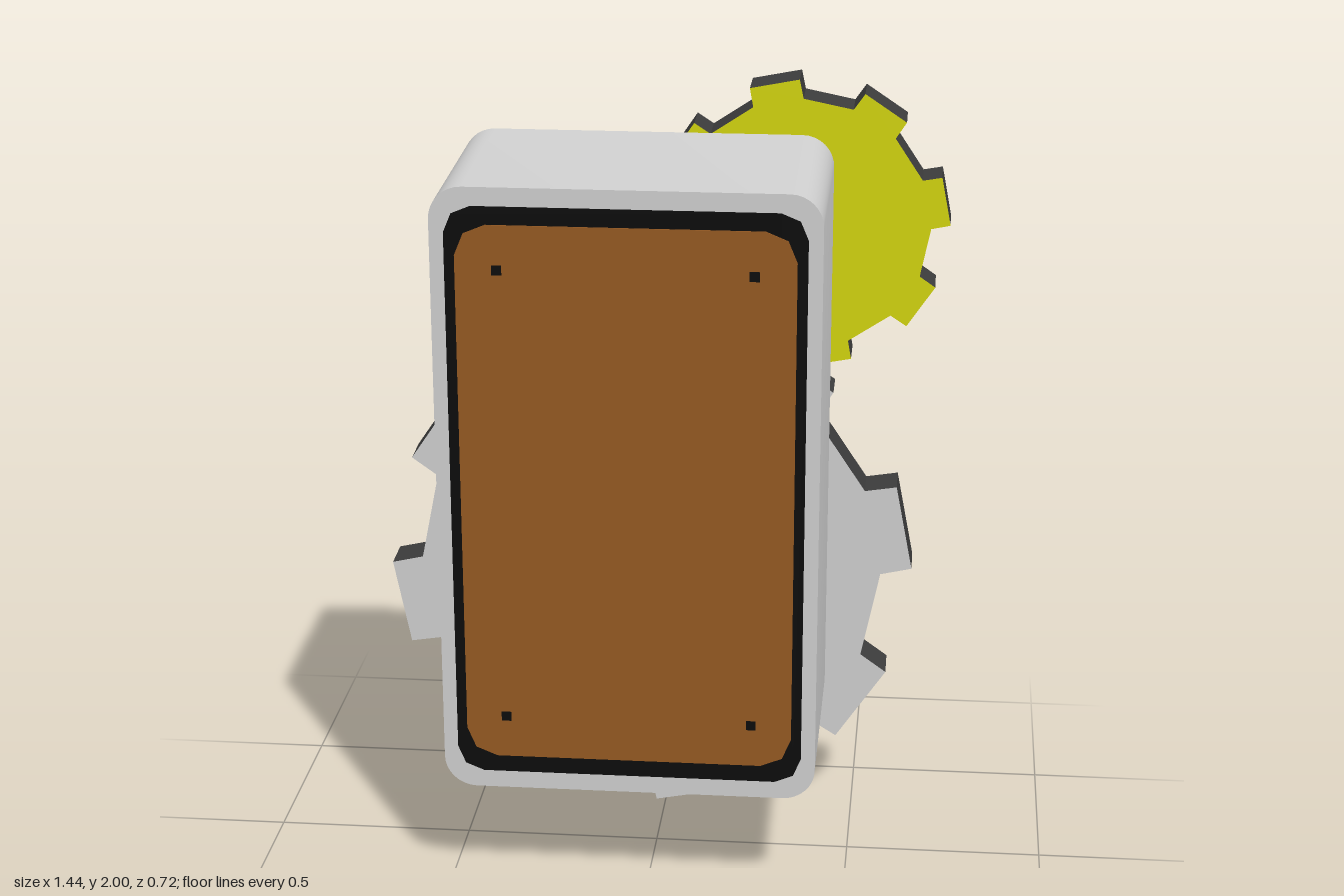
import * as THREE from 'three';
import { toCreasedNormals } from 'three/addons/utils/BufferGeometryUtils.js';

const material = (name, color) => {
  const m = new THREE.MeshStandardMaterial({ color });
  m.name = name;
  return m;
};

function extrude(shape, depth, curveSegments = 1) {
  return new THREE.ExtrudeGeometry(shape, { depth, bevelEnabled: false, curveSegments });
}

// Rectangle centred on the origin with rounded corners
function roundedRect(w, h, r) {
  const x = w / 2, y = h / 2, s = new THREE.Shape();
  s.absarc(x - r, y - r, r, 0, Math.PI / 2);
  s.absarc(-x + r, y - r, r, Math.PI / 2, Math.PI);
  s.absarc(-x + r, -y + r, r, Math.PI, Math.PI * 1.5);
  s.absarc(x - r, -y + r, r, Math.PI * 1.5, Math.PI * 2);
  return s;
}

// Gear outline: straight tips and valleys, teeth slightly narrower at the tip
function gearShape(root, tip, teeth, phase) {
  const pts = [];
  for (let i = 0; i < teeth; i++) {
    const mid = THREE.MathUtils.degToRad(phase) + (i * Math.PI * 2) / teeth;
    const half = Math.PI / teeth / 2;
    for (const [r, a] of [[root, -half], [tip, -half * 0.86], [tip, half * 0.86], [root, half]]) {
      pts.push(new THREE.Vector2(r * Math.cos(mid + a), r * Math.sin(mid + a)));
    }
  }
  return new THREE.Shape(pts);
}

export function createModel() {
  const grey = material('light grey', 0xd0d0d0);
  const black = material('black trim', 0x0c0c0c);
  const brown = material('brown panel', 0x965a22);
  const yellow = material('yellow', 0xd4d60e);
  const dark = material('dark gear edge', 0x3c3c3c);

  const model = new THREE.Group();
  const body = new THREE.Group();
  body.name = 'tiltedBody';
  body.position.set(0, 1.07, 0.065);
  body.rotation.x = THREE.MathUtils.degToRad(2);
  model.add(body);

  const add = (parent, name, geometry, mat, x, y, z) => {
    const mesh = new THREE.Mesh(geometry, mat);
    mesh.name = name;
    mesh.position.set(x, y, z);
    parent.add(mesh);
    return mesh;
  };

  // Case
  const depth = 0.545, cx = -0.04;
  const caseGeometry = toCreasedNormals(extrude(roundedRect(0.93, 1.56, 0.08), depth, 4), 0.7);
  add(body, 'case', caseGeometry, grey, cx, 0, -depth / 2);

  // Trimmed panel with four screws, on the front and on the back
  for (const [side, turn] of [['front', 0], ['back', Math.PI]]) {
    const face = new THREE.Group();
    face.name = side + 'Face';
    face.position.x = cx;
    face.rotation.y = turn;
    body.add(face);
    add(face, side + 'Trim', extrude(roundedRect(0.86, 1.468, 0.065), 0.003), black, 0, 0, depth / 2);
    add(face, side + 'Panel', extrude(roundedRect(0.81, 1.38, 0.075), 0.006), brown, 0, 0, depth / 2);
    for (const x of [-0.305, 0.305]) {
      for (const y of [-0.58, 0.58]) {
        add(face, side + 'Screw', new THREE.BoxGeometry(0.024, 0.024, 0.004), black, x, y, depth / 2 + 0.006);
      }
    }
  }

  // Gears lying flat against the back of the case
  const thick = 0.108;
  const gear = (name, mat, x, y, root, tip) =>
    add(body, name, extrude(gearShape(root, tip, 8, 11), thick), [mat, dark], x, y, -depth / 2 - thick);
  gear('largeGear', grey, -0.04, -0.391, 0.605, 0.686);
  gear('smallGear', yellow, 0.345, 0.547, 0.325, 0.373);

  return model;
}
